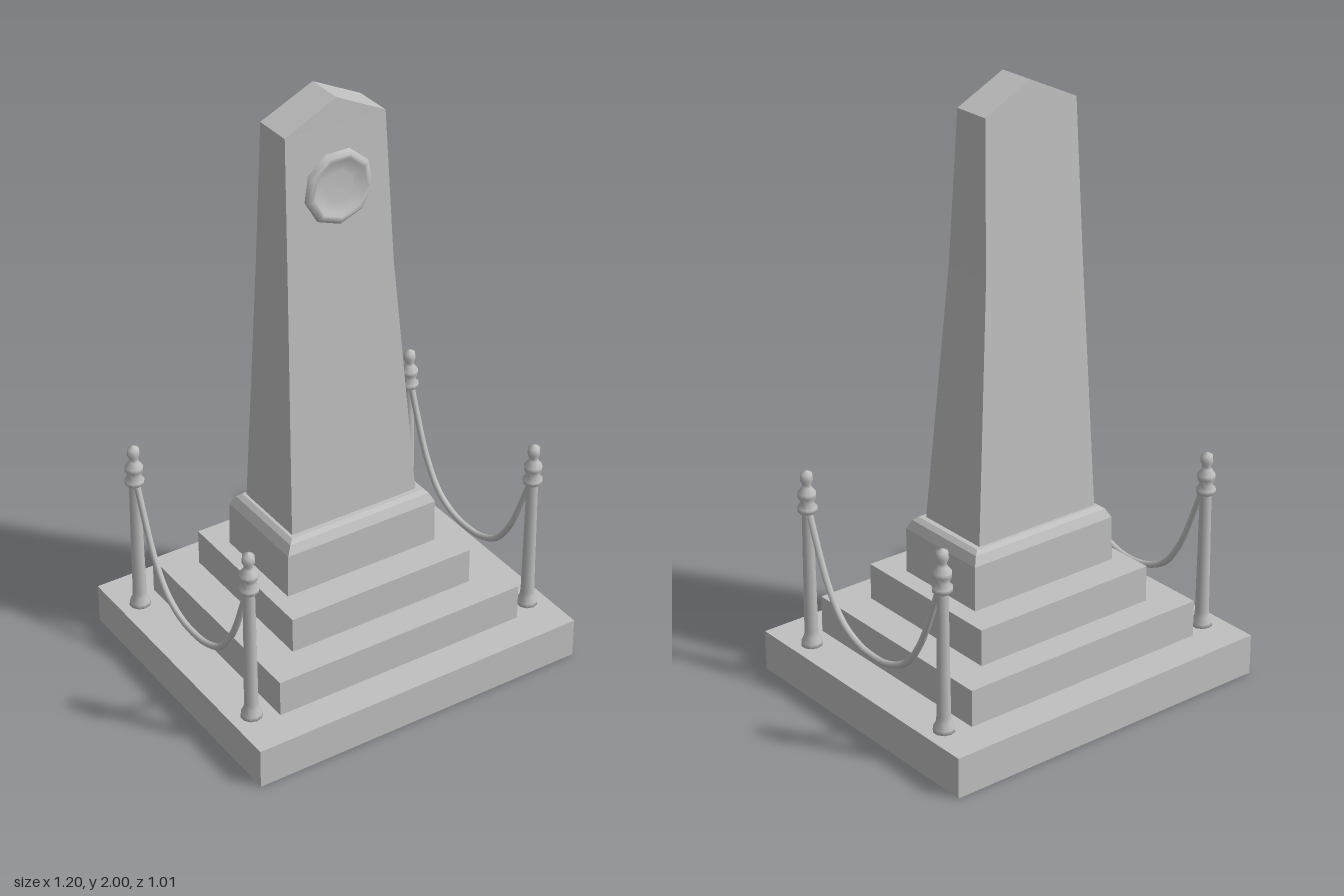
import * as THREE from 'three';

const stone = new THREE.MeshStandardMaterial({ color: 0xc0c0c0 });
stone.name = 'paleGreyStone';

// Lofts rectangular sections [y, xMin, xMax, zMin, zMax] into a closed flat-sided solid.
function loft(sections) {
  const pos = [];
  const rings = sections.map(([y, x0, x1, z0, z1]) =>
    [[x0, y, z1], [x1, y, z1], [x1, y, z0], [x0, y, z0]]);
  const quad = (a, b, c, d) => pos.push(...a, ...b, ...c, ...a, ...c, ...d);
  for (let i = 0; i < rings.length - 1; i++) {
    const lo = rings[i], hi = rings[i + 1];
    for (let k = 0; k < 4; k++) {
      const n = (k + 1) % 4;
      quad(lo[k], lo[n], hi[n], hi[k]);
    }
  }
  const bottom = rings[0], top = rings[rings.length - 1];
  quad(bottom[3], bottom[2], bottom[1], bottom[0]);
  quad(top[0], top[1], top[2], top[3]);
  const geometry = new THREE.BufferGeometry();
  geometry.setAttribute('position', new THREE.Float32BufferAttribute(pos, 3));
  geometry.computeVertexNormals();
  return geometry;
}

function lathe(points, segments) {
  return new THREE.LatheGeometry(points.map(([r, y]) => new THREE.Vector2(r, y)), segments);
}

export function createModel() {
  const model = new THREE.Group();
  model.name = 'monument';
  const add = (name, geometry, parent = model) => {
    const mesh = new THREE.Mesh(geometry, stone);
    mesh.name = name;
    parent.add(mesh);
    return mesh;
  };

  // Stepped pedestal
  add('baseSlab', loft([[0, -0.6, 0.597, -0.505, 0.505], [0.137, -0.6, 0.597, -0.505, 0.505]]));
  add('lowerStep', loft([[0.13, -0.455, 0.452, -0.387, 0.39], [0.262, -0.455, 0.452, -0.387, 0.39]]));
  add('upperStep', loft([[0.255, -0.338, 0.335, -0.287, 0.28], [0.385, -0.338, 0.335, -0.287, 0.28]]));
  add('plinth', loft([
    [0.38, -0.285, 0.274, -0.18, 0.17],
    [0.535, -0.282, 0.272, -0.178, 0.17],
    [0.565, -0.265, 0.258, -0.165, 0.156],
    [0.577, -0.25, 0.243, -0.153, 0.143],
  ]));

  // Tapering shaft with a gabled top, its ridge running front to back
  add('shaft', loft([
    [0.57, -0.24, 0.226, -0.142, 0.127],
    [1.42, -0.221, 0.157, -0.093, 0.087],
    [1.915, -0.213, 0.136, -0.066, 0.066],
    [2.0, -0.035, -0.035, -0.062, 0.064],
  ]));

  // Raised ring with a dished centre on the front of the shaft
  const medallion = add('medallion', lathe([
    [0.121, -0.015], [0.12, 0.006], [0.108, 0.018], [0.094, 0.018],
    [0.08, 0.007], [0.05, 0.003], [0, 0.002],
  ].reverse().map(([r, y]) => [r, y]).reverse(), 9));
  medallion.position.set(-0.035, 1.715, 0.074);
  medallion.rotation.x = Math.PI / 2 - 0.045;

  // Rope barriers on both sides
  const postProfile = [
    [0, 0.132], [0.036, 0.132], [0.034, 0.15], [0.025, 0.168], [0.023, 0.19],
    [0.019, 0.6], [0.032, 0.612], [0.033, 0.625], [0.02, 0.64], [0.03, 0.662],
    [0.03, 0.675], [0.016, 0.694], [0.014, 0.705], [0.021, 0.72], [0.019, 0.742], [0, 0.752],
  ];
  const ropePoints = [
    [-0.335, 0.62], [-0.305, 0.54], [-0.24, 0.39], [-0.165, 0.29], [-0.08, 0.246], [0, 0.236],
    [0.08, 0.246], [0.165, 0.29], [0.24, 0.39], [0.305, 0.54], [0.335, 0.62],
  ];
  for (const side of [-1, 1]) {
    const barrier = new THREE.Group();
    barrier.name = side > 0 ? 'leftBarrier' : 'rightBarrier';
    barrier.position.x = side * 0.529;
    model.add(barrier);
    for (const end of [-1, 1]) {
      const post = add(end > 0 ? 'frontPost' : 'backPost', lathe(postProfile, 10), barrier);
      post.position.z = end > 0 ? 0.34 : -0.348;
    }
    const curve = new THREE.CatmullRomCurve3(ropePoints.map(([z, y]) => new THREE.Vector3(0, y, z)));
    add('hangingRope', new THREE.TubeGeometry(curve, 40, 0.011, 7), barrier);
  }
  return model;
}
